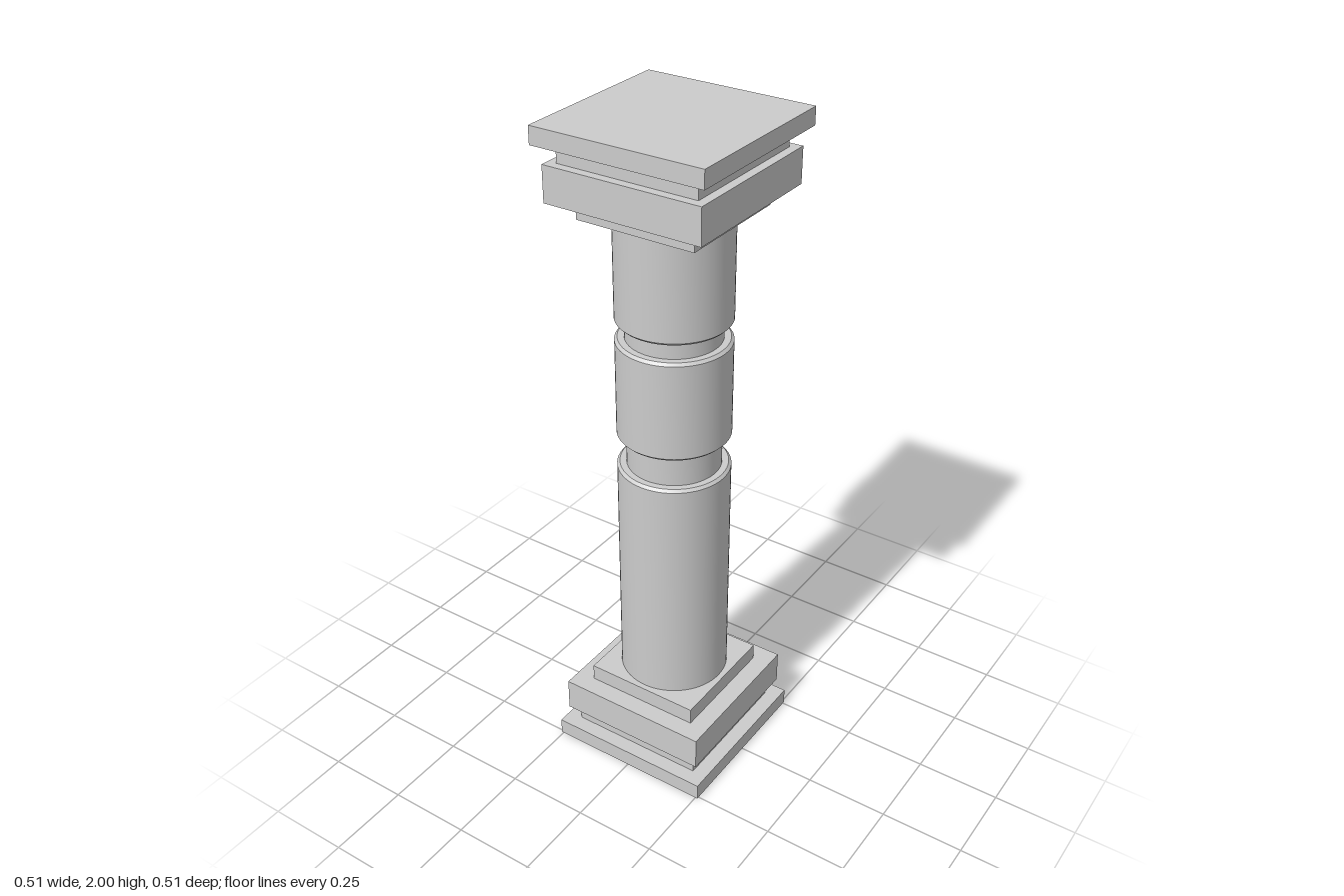
import * as THREE from 'three';
import { toCreasedNormals } from 'three/addons/utils/BufferGeometryUtils.js';

const material = new THREE.MeshStandardMaterial({ color: 0xcccccc });

// Square slabs from the outer end inwards: name, half width, start, end
const SLABS = [
  ['Plinth', 0.257, 0, 0.051],
  ['Recess', 0.211, 0.051, 0.103],
  ['Block', 0.237, 0.103, 0.206],
  ['Collar', 0.18, 0.206, 0.257],
];

// Stack of slabs, used for the base and mirrored for the capital
function addSlabs(parent, name, flip) {
  const group = new THREE.Group();
  group.name = name;
  for (const [part, half, y0, y1] of SLABS) {
    const slab = new THREE.Mesh(new THREE.BoxGeometry(half * 2, y1 - y0, half * 2), material);
    const y = (y0 + y1) / 2;
    slab.position.y = flip ? 2 - y : y;
    slab.name = name + part;
    group.add(slab);
  }
  parent.add(group);
}

function addTurned(parent, name, profile) {
  const points = profile.map(([r, y]) => new THREE.Vector2(r, y));
  const mesh = new THREE.Mesh(toCreasedNormals(new THREE.LatheGeometry(points, 64), 0.4), material);
  mesh.name = name;
  parent.add(mesh);
}

export function createModel() {
  const model = new THREE.Group();
  model.name = 'column';
  addSlabs(model, 'base', false);
  addSlabs(model, 'capital', true);

  // Shaft drums with small chamfers next to the grooves
  const R = 0.163, N = 0.136, C = 0.008;
  const drum = (y0, y1) => [[0, y0], [R - C, y0], [R, y0 + C], [R, y1 - C], [R - C, y1], [0, y1]];
  addTurned(model, 'lowerShaft', [[R, 0.257], [R, 0.987 - C], [R - C, 0.987], [0, 0.987]]);
  addTurned(model, 'middleDrum', drum(1.082, 1.386));
  addTurned(model, 'upperShaft', [[0, 1.438], [R - C, 1.438], [R, 1.438 + C], [R, 1.743]]);

  // Narrow necks between the drums
  addTurned(model, 'lowerNeck', [[N, 0.987], [N, 1.082]]);
  addTurned(model, 'upperNeck', [[N, 1.386], [N, 1.438]]);
  return model;
}
